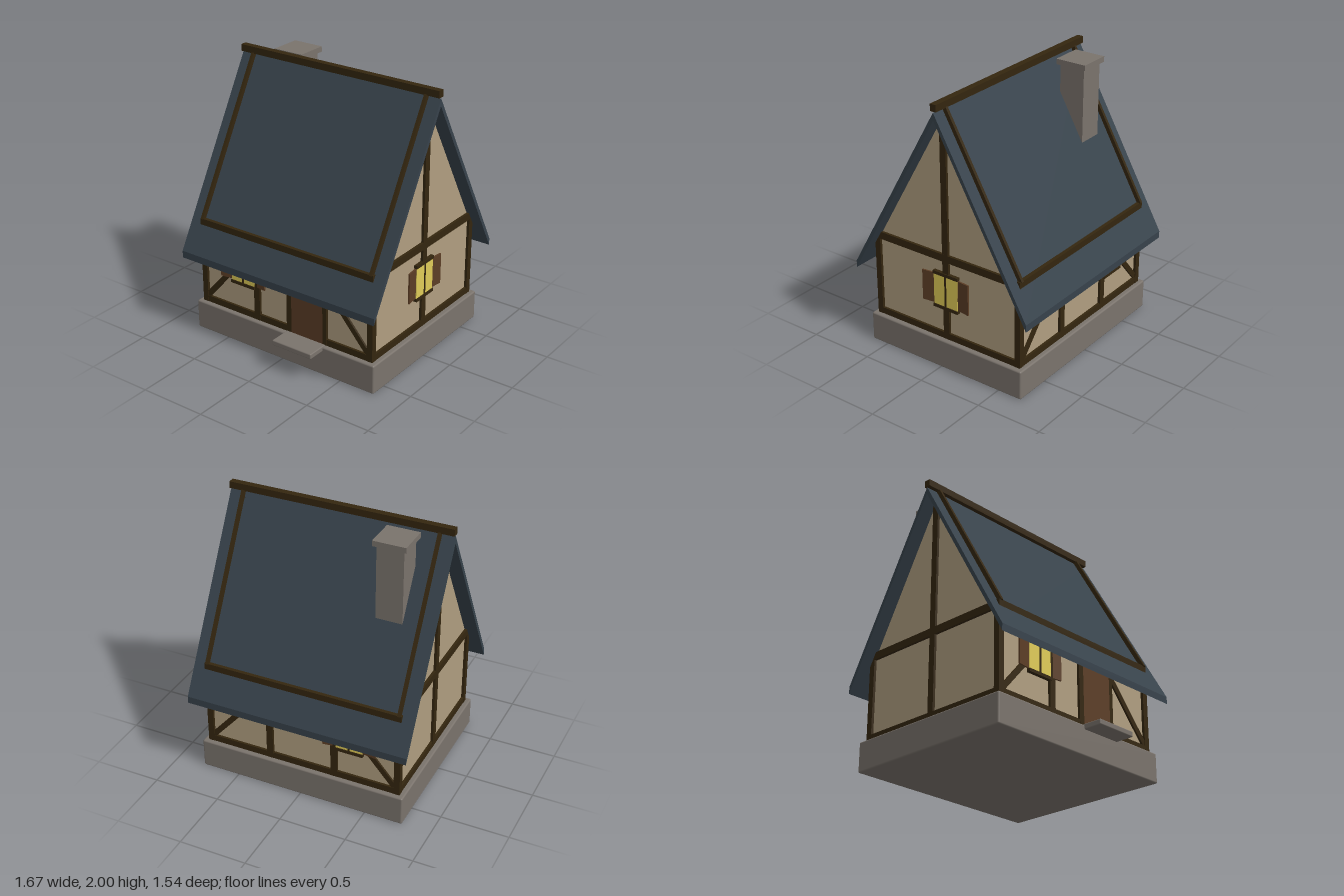
import * as THREE from 'three';
import { RoundedBoxGeometry } from 'three/addons/geometries/RoundedBoxGeometry.js';

const mat = (name, color) => {
  const m = new THREE.MeshStandardMaterial({ color });
  m.name = name;
  return m;
};

export function createModel() {
  const plaster = mat('plaster', 0xb09e80);
  const timber = mat('dark timber', 0x34260f);
  const slate = mat('slate', 0x37424b);
  const stone = mat('stone', 0x7a736c);
  const wood = mat('brown wood', 0x5c3e26);
  const glass = mat('lit glass', 0xe0cc58);

  const model = new THREE.Group();
  model.name = 'cottage';
  const house = new THREE.Group();
  house.name = 'house';
  house.position.z = -0.03;
  model.add(house);

  const add = (parent, name, geometry, material, x = 0, y = 0, z = 0) => {
    const mesh = new THREE.Mesh(geometry, material);
    mesh.name = name;
    mesh.position.set(x, y, z);
    parent.add(mesh);
    return mesh;
  };
  // box given by its limits on each axis
  const block = (parent, name, material, x0, x1, y0, y1, z0, z1) =>
    add(parent, name, new THREE.BoxGeometry(x1 - x0, y1 - y0, z1 - z0), material,
      (x0 + x1) / 2, (y0 + y1) / 2, (z0 + z1) / 2);
  // outline in z and y, extruded along x
  const prism = (parent, name, material, points, halfWidth) => {
    const shape = new THREE.Shape(points.map(([z, y]) => new THREE.Vector2(-z, y)));
    const g = new THREE.ExtrudeGeometry(shape, { depth: 2 * halfWidth, bevelEnabled: false });
    g.translate(0, 0, -halfWidth).rotateY(Math.PI / 2);
    return add(parent, name, g, material);
  };

  const W = 0.73, D = 0.61, PROUD = 0.02;

  // stone base and plastered body
  add(house, 'foundation', new RoundedBoxGeometry(1.57, 0.22, 1.325, 2, 0.012), stone, 0, 0.11, 0);
  prism(house, 'plasterWalls', plaster,
    [[-D, 0.21], [D, 0.21], [D, 0.83], [0, 1.905], [-D, 0.83]], W);

  // roof slopes as one folded slab
  const slope = 1.763, ridgeY = 1.943, eaveZ = 0.74, thick = 0.053;
  const eaveY = ridgeY - slope * eaveZ;
  prism(house, 'roof', slate, [
    [-eaveZ, eaveY], [-eaveZ, eaveY - thick], [0, ridgeY - thick],
    [eaveZ, eaveY - thick], [eaveZ, eaveY], [0, ridgeY]], 0.835);
  block(house, 'ridgeBeam', timber, -0.835, 0.835, 1.95, 2, -0.024, 0.024);

  // rafters lying along the slopes near both gables
  const angle = Math.atan(slope), rafterLength = 1.24;
  for (const sx of [-1, 1]) for (const sz of [-1, 1]) {
    const rafter = add(house, 'rafter', new THREE.BoxGeometry(0.022, 0.034, rafterLength), timber,
      sx * W,
      ridgeY - Math.sin(angle) * rafterLength / 2 + 0.013 * Math.cos(angle),
      sz * (Math.cos(angle) * rafterLength / 2 + 0.013 * Math.sin(angle)));
    rafter.rotation.x = sz * angle;
  }

  // corner posts
  for (const sx of [-1, 1]) for (const sz of [-1, 1]) {
    const post = block(house, 'cornerPost', timber, -0.0225, 0.0225, 0.22, 0.88, -0.0225, 0.0225);
    post.position.x = sx * (W - 0.0025);
    post.position.z = sz * (D - 0.0025);
  }

  // each wall frame: local x runs along the wall, local z points outward
  const wallFrame = (name, halfLength, x, z, turn) => {
    const wall = new THREE.Group();
    wall.name = name;
    wall.position.set(x, 0, z);
    wall.rotation.y = turn;
    house.add(wall);
    block(wall, 'sillBeam', timber, -halfLength, halfLength, 0.22, 0.268, -0.02, PROUD - 0.002);
    block(wall, 'wallPlate', timber, -halfLength - 0.012, halfLength + 0.012, 0.825, 0.88, -0.02, PROUD);
    return wall;
  };
  const post = (wall, x, y1, halfWidth = 0.025) =>
    block(wall, 'post', timber, x - halfWidth, x + halfWidth, 0.22, y1, -0.02, PROUD - 0.001);
  const brace = (wall, x0, y0, x1, y1) => {
    const b = add(wall, 'brace', new THREE.BoxGeometry(Math.hypot(x1 - x0, y1 - y0), 0.04, 0.03), timber,
      (x0 + x1) / 2, (y0 + y1) / 2, 0);
    b.rotation.z = Math.atan2(y1 - y0, x1 - x0);
  };
  const windowUnit = (wall, x) => {
    const w = new THREE.Group();
    w.name = 'window';
    w.position.x = x;
    wall.add(w);
    block(w, 'pane', glass, -0.102, 0.102, 0.47, 0.715, -0.01, 0.021);
    block(w, 'mullion', timber, -0.007, 0.007, 0.47, 0.715, 0, 0.025);
    block(w, 'lintel', timber, -0.106, 0.106, 0.712, 0.736, -0.01, 0.026);
    block(w, 'windowSill', timber, -0.106, 0.106, 0.455, 0.478, -0.01, 0.028);
    for (const s of [-1, 1]) {
      const shutter = block(w, 'shutter', wood, -0.0495, 0.0495, 0.48, 0.712, -0.006, 0.006);
      shutter.position.x = s * 0.15;
      shutter.position.z = 0.016;
      shutter.rotation.y = -s * 0.12;
    }
  };

  const front = wallFrame('frontWall', W, 0, D, 0);
  post(front, -0.245, 0.83);
  brace(front, -0.72, 0.26, -0.25, 0.8);
  brace(front, 0.72, 0.26, 0.35, 0.685);
  windowUnit(front, -0.367);

  // door with its frame and step
  post(front, 0.042, 0.83, 0.021);
  post(front, 0.347, 0.83, 0.018);
  block(front, 'door', wood, 0.06, 0.332, 0.22, 0.76, -0.01, 0.019);
  block(front, 'doorLintel', timber, 0.03, 0.36, 0.75, 0.79, -0.01, 0.022);
  add(front, 'doorStep', new RoundedBoxGeometry(0.335, 0.04, 0.17, 2, 0.008), stone, 0.192, 0.208, 0.105);

  const back = wallFrame('backWall', W, 0, -D, Math.PI);
  for (const s of [-1, 1]) {
    post(back, s * 0.25, 0.83);
    brace(back, s * 0.72, 0.26, s * 0.25, 0.8);
  }
  windowUnit(back, 0.367);

  // gables, the +x one with a window
  for (const s of [-1, 1]) {
    const gable = wallFrame('gableWall', D, s * W, 0, s * Math.PI / 2);
    post(gable, 0, 1.9);
    if (s > 0) windowUnit(gable, 0);
  }

  // chimney
  block(house, 'chimneyShaft', stone, -0.608, -0.412, 1.3, 1.94, -0.317, -0.121);
  block(house, 'chimneyCap', stone, -0.63, -0.39, 1.933, 1.973, -0.34, -0.1);

  return model;
}
